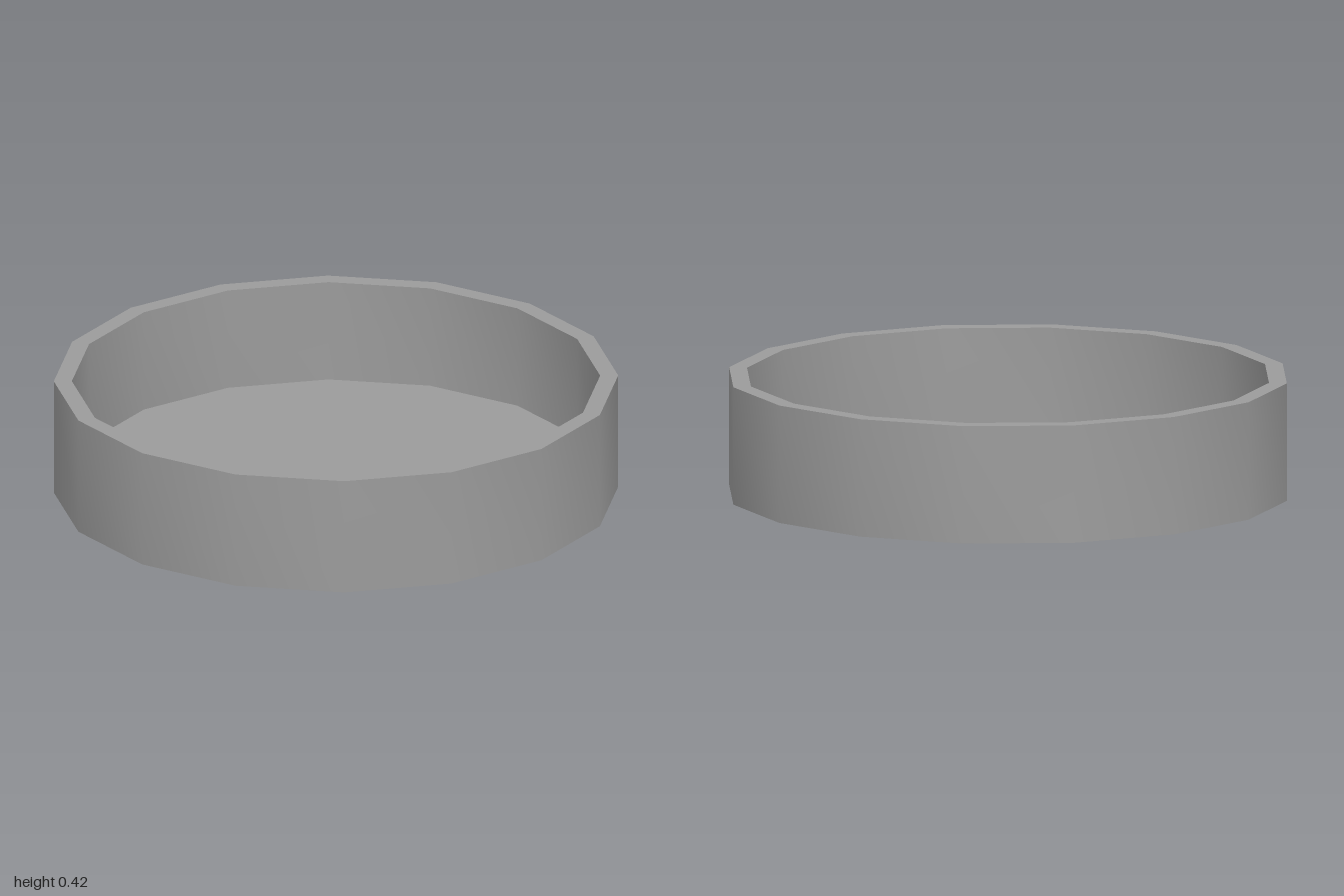
import * as THREE from 'three';
import { toCreasedNormals } from 'three/addons/utils/BufferGeometryUtils.js';

const SIDES = 16;
const HEIGHT = 0.423;
const INNER_RADIUS = 0.936;
const FLOOR = 0.053;

export function createModel() {
  const group = new THREE.Group();
  group.name = 'roundTray';

  // Closed section: underside, outer wall, rim, inner wall, floor
  const profile = [
    [0, 0],
    [1, 0],
    [1, HEIGHT],
    [INNER_RADIUS, HEIGHT],
    [INNER_RADIUS, FLOOR],
    [0, FLOOR],
  ].map(([r, y]) => new THREE.Vector2(r, y));

  // Smooth around the walls, sharp at the rim and floor edges
  const geometry = toCreasedNormals(new THREE.LatheGeometry(profile, SIDES), Math.PI / 5);
  const tray = new THREE.Mesh(geometry, new THREE.MeshStandardMaterial({ color: 0x9b9b9b }));
  tray.name = 'tray';
  group.add(tray);

  return group;
}
